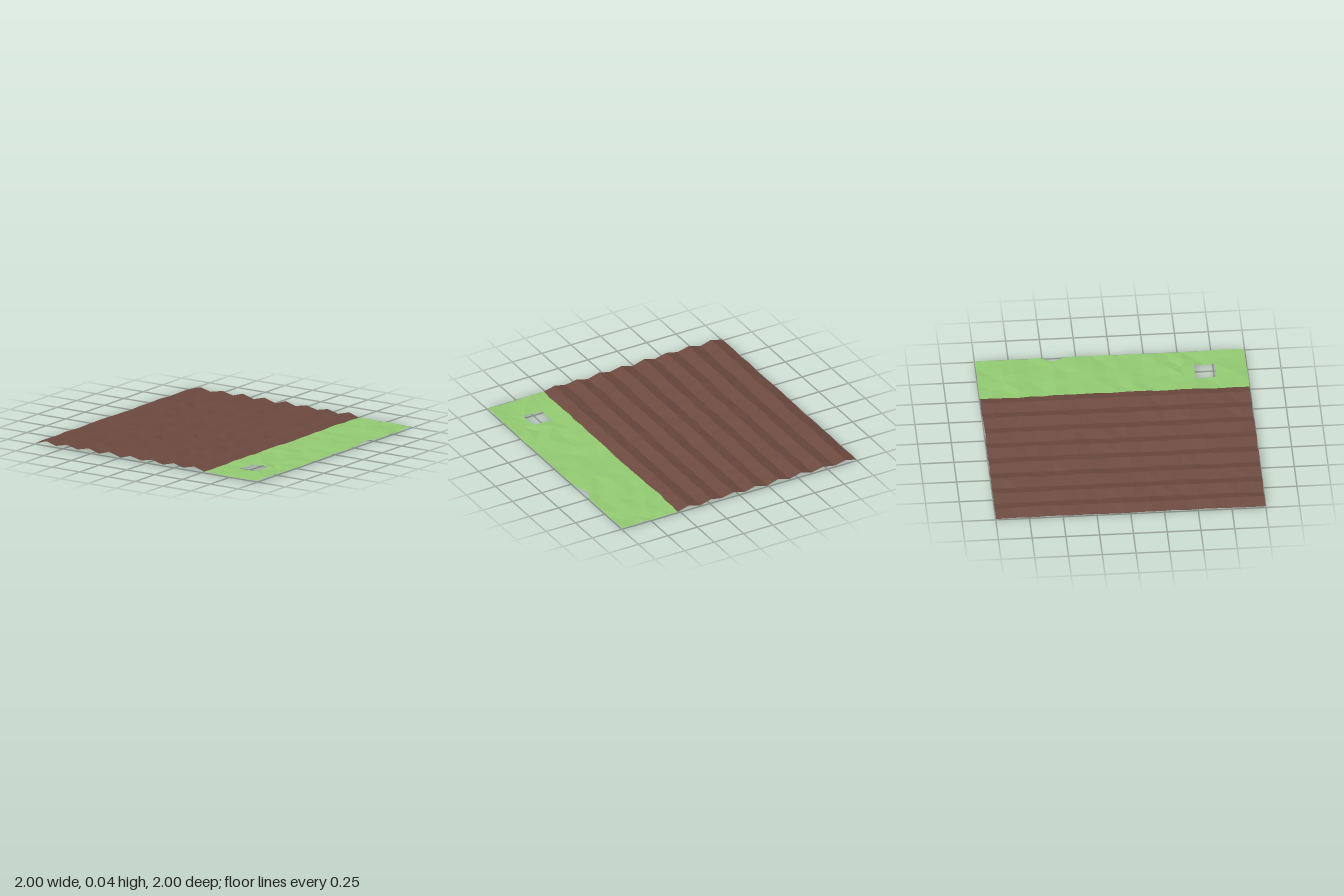
import * as THREE from 'three';

const N = 21;            // grid cells per side
const SOIL_COLS = 16;    // columns of ploughed soil, the rest is grass
const STEP = 2 / N;

// Repeatable noise in -1..1 for a grid corner
function noise(i, j, k) {
  const s = Math.sin(i * 127.1 + j * 311.7 + k * 74.7) * 43758.5453;
  return 2 * (s - Math.floor(s)) - 1;
}

// Square opening in the grass: grid corners 17..19 are drawn to its rim
const HOLE = { first: 17, last: 19, x: [0.67, 0.745, 0.825], z: [0.61, 0.687, 0.765] };
const inHole = (i, j) =>
  i >= HOLE.first && i < HOLE.last && j >= HOLE.first && j < HOLE.last;

// Corner of the field at column i, row j
function corner(i, j) {
  let x = -1 + i * STEP + 0.006 * noise(i, j, 1);
  let z = -1 + j * STEP + 0.006 * noise(i, j, 2);
  let y;
  if (i <= SOIL_COLS) {
    // Furrows: odd columns are ridges, even ones are valleys
    y = (i % 2 ? 0.035 : 0.01) + 0.0035 * noise(i, j, 3);
  } else {
    y = 0.009 + 0.006 * noise(i, j, 3);
  }
  const a = i - HOLE.first, b = j - HOLE.first;
  if (a >= 0 && a <= 2 && b >= 0 && b <= 2) {
    x = HOLE.x[a];
    z = HOLE.z[b];
  }
  if (i === N && j === 6) x = 0.955; // notch in the grass edge
  if (i === SOIL_COLS && j === 3) x -= 0.012;
  if (i === 17 && j === 18) y = 0;   // lowest dip beside the opening
  return [THREE.MathUtils.clamp(x, -1, 1), y, THREE.MathUtils.clamp(z, -1, 1)];
}

// Faceted sheet covering columns from..to
function sheet(name, from, to, color) {
  const pos = [];
  for (let i = from; i < to; i++) {
    for (let j = 0; j < N; j++) {
      if (inHole(i, j)) continue;
      const a = corner(i, j), b = corner(i, j + 1);
      const c = corner(i + 1, j + 1), d = corner(i + 1, j);
      // Vary the diagonal for an uneven, clod-like surface
      if (noise(i, j, 4) > 0) pos.push(...a, ...b, ...c, ...a, ...c, ...d);
      else pos.push(...a, ...b, ...d, ...b, ...c, ...d);
    }
  }
  const geo = new THREE.BufferGeometry();
  geo.setAttribute('position', new THREE.Float32BufferAttribute(pos, 3));
  geo.computeVertexNormals();
  const mat = new THREE.MeshStandardMaterial({
    color, flatShading: true, side: THREE.DoubleSide,
  });
  const mesh = new THREE.Mesh(geo, mat);
  mesh.name = name;
  return mesh;
}

export function createModel() {
  const group = new THREE.Group();
  group.name = 'ploughedField';
  group.add(sheet('soilFurrows', 0, SOIL_COLS, 0x6d4a40));
  group.add(sheet('grassStrip', SOIL_COLS, N, 0x93cb72));
  return group;
}
